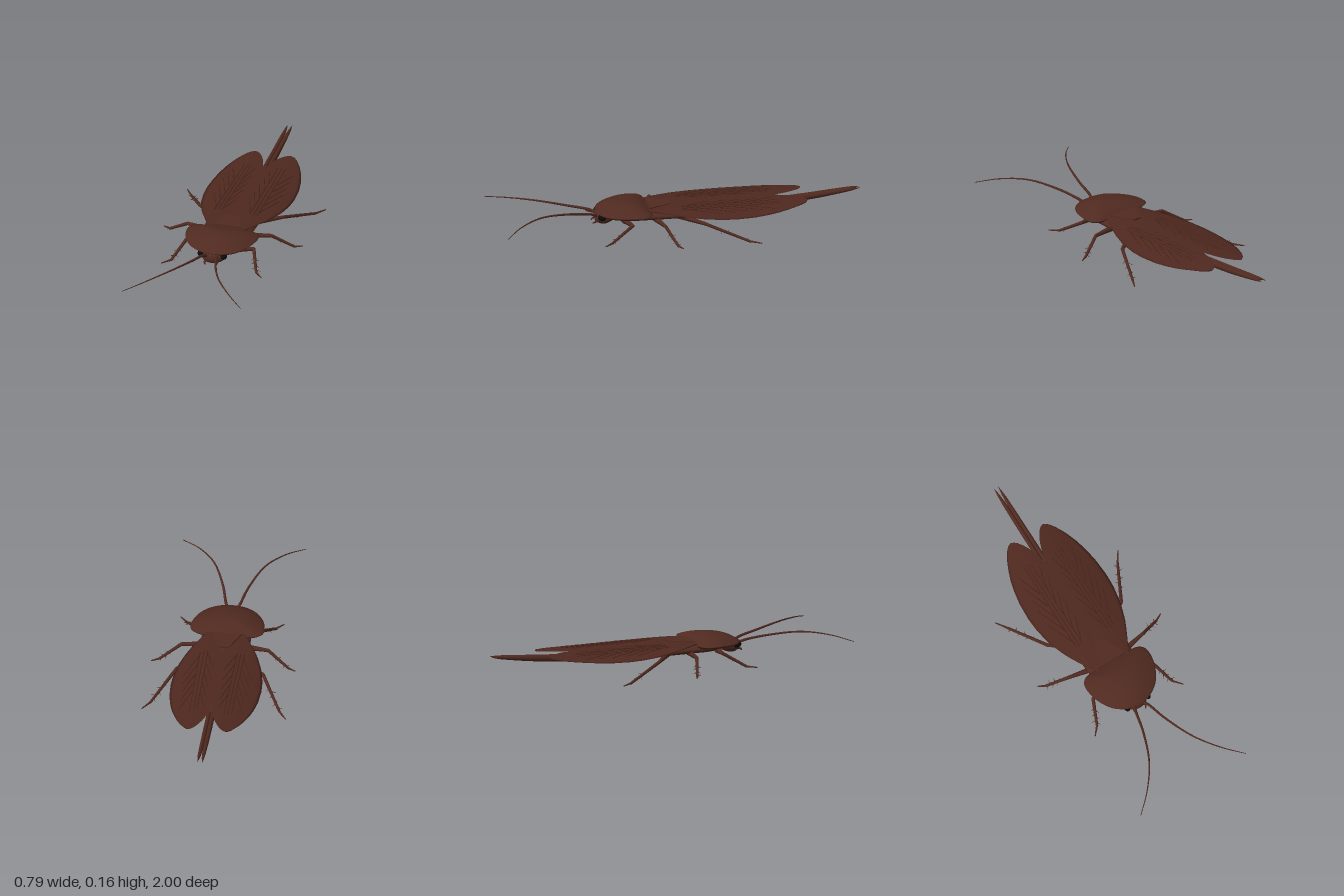
import * as THREE from 'three';
import { mergeVertices } from 'three/addons/utils/BufferGeometryUtils.js';

const mat = (name, color, side = THREE.FrontSide) => {
  const m = new THREE.MeshStandardMaterial({ color, side });
  m.name = name;
  return m;
};

// Surface from a rule f(u, v) -> [x, y, z], smooth across the seam
function grid(nu, nv, f) {
  const pos = [], idx = [];
  for (let i = 0; i <= nu; i++) for (let j = 0; j <= nv; j++) pos.push(...f(i / nu, j / nv));
  for (let i = 0; i < nu; i++) for (let j = 0; j < nv; j++) {
    const a = i * (nv + 1) + j, b = a + nv + 1;
    idx.push(a, b, a + 1, b, b + 1, a + 1);
  }
  let g = new THREE.BufferGeometry();
  g.setAttribute('position', new THREE.Float32BufferAttribute(pos, 3));
  g.setIndex(idx);
  g = mergeVertices(g, 1e-5);
  g.computeVertexNormals();
  return g;
}

// Loft through elliptical sections [z, x, y, rx, ry], ordered front to back
function loft(sections, nu = 40, nv = 24) {
  const c = new THREE.CatmullRomCurve3(sections.map(s => new THREE.Vector3(s[0], s[1], s[2])));
  const r = new THREE.CatmullRomCurve3(sections.map(s => new THREE.Vector3(s[0], s[3], s[4])));
  return grid(nu, nv, (u, v) => {
    const p = c.getPoint(u), q = r.getPoint(u), a = v * Math.PI * 2;
    return [p.y + Math.max(q.y, 0) * Math.cos(a), p.z + Math.max(q.z, 0) * Math.sin(a), p.x];
  });
}

// Tube along points that thins from r0 to r1
function taperedTube(points, r0, r1, n = 40, sides = 8) {
  const curve = new THREE.CatmullRomCurve3(points.map(p => new THREE.Vector3(...p)));
  const g = new THREE.TubeGeometry(curve, n, r0, sides);
  const p = g.attributes.position, v = new THREE.Vector3();
  for (let i = 0; i < p.count; i++) {
    const t = Math.floor(i / (sides + 1)) / n, c = curve.getPointAt(t);
    v.fromBufferAttribute(p, i).sub(c).multiplyScalar(1 + (r1 / r0 - 1) * t).add(c);
    p.setXYZ(i, v.x, v.y, v.z);
  }
  return g;
}

// Wing outline rows [z, inner x, outer x], z falling
const wingRows = [[0.18, 0.09, 0.1], [0.14, 0.068, 0.125], [0.08, 0.04, 0.155], [0.04, 0.02, 0.175], [0, 0.003, 0.193],
  [-0.1, 0, 0.226], [-0.2, 0, 0.243], [-0.28, 0, 0.247], [-0.38, 0, 0.241], [-0.46, 0.001, 0.227], [-0.52, 0.007, 0.211],
  [-0.57, 0.02, 0.192], [-0.61, 0.034, 0.174], [-0.645, 0.052, 0.154], [-0.67, 0.069, 0.136], [-0.685, 0.085, 0.12], [-0.692, 0.102, 0.103]];
function wingEdges(z) {
  let i = 0;
  while (i < wingRows.length - 2 && z < wingRows[i + 1][0]) i++;
  const [a, b] = [wingRows[i], wingRows[i + 1]];
  const t = (z - a[0]) / (b[0] - a[0]);
  return [a[1] + (b[1] - a[1]) * t, a[2] + (b[2] - a[2]) * t];
}
const wingY = (x, z) => 0.136 - 0.58 * x * x + 0.008 * Math.max(0, -z - 0.4);

export function createModel() {
  const model = new THREE.Group();
  const body = mat('body brown', 0x502a20);
  const wingMat = mat('wing brown', 0x4e281f, THREE.DoubleSide);
  const veinMat = mat('vein brown', 0x48241b);
  const black = mat('eye black', 0x0c0c0c);
  const add = (name, geo, m, parent = model) => {
    const mesh = new THREE.Mesh(geo, m);
    mesh.name = name;
    parent.add(mesh);
    return mesh;
  };

  // Thorax and abdomen
  add('abdomen', loft([[0.39, 0, 0.1, 0, 0], [0.36, 0, 0.1, 0.06, 0.02], [0.28, 0, 0.099, 0.125, 0.032], [0.15, 0, 0.098, 0.135, 0.032],
    [0, 0, 0.098, 0.14, 0.03], [-0.2, 0, 0.099, 0.125, 0.028], [-0.36, 0, 0.102, 0.085, 0.024], [-0.46, 0, 0.106, 0.04, 0.018], [-0.51, 0, 0.11, 0, 0]]), body);

  // Domed shield over the thorax, closed underneath
  const half = [[0.07, 0.443], [0.135, 0.4], [0.18, 0.33], [0.2, 0.25], [0.194, 0.2], [0.165, 0.173], [0.09, 0.165]];
  const rim = new THREE.CatmullRomCurve3([[0, 0.455], ...half, [0, 0.163], ...half.map(([x, z]) => [-x, z]).reverse()]
    .map(([x, z]) => new THREE.Vector3(x, 0, z)), true);
  add('thoraxShield', grid(28, 64, (u, v) => {
    const p = rim.getPoint(v % 1);
    const top = u <= 0.75;
    const s = top ? u / 0.75 : 1 - Math.pow((u - 0.75) / 0.25, 2) * 0.999;
    const z = 0.29 + (p.z - 0.29) * s;
    const y = top ? 0.122 + 0.038 * (1 - Math.pow(s, 2.2)) : 0.122 - 0.014 * Math.min(1, (1 - s) * 12);
    return [p.x * s, y - 0.011 * s * s * Math.max(0, (z - 0.29) / 0.165), z];
  }), body);

  // Small plate between the wing roots
  const plate = new THREE.Shape([[-0.085, 0.17], [-0.036, 0.058], [-0.024, 0.045], [0.024, 0.045], [0.036, 0.058], [0.085, 0.17]]
    .map(([x, z]) => new THREE.Vector2(x, -z)));
  const plateGeo = new THREE.ExtrudeGeometry(plate, { depth: 0.009, bevelEnabled: false });
  plateGeo.rotateX(-Math.PI / 2).translate(0, 0.1295, 0);
  add('scutellum', plateGeo, body);

  // Head
  add('head', loft([[0.461, 0, 0.078, 0, 0], [0.456, 0, 0.079, 0.03, 0.019], [0.442, 0, 0.08, 0.053, 0.031], [0.41, 0, 0.082, 0.068, 0.039],
    [0.37, 0, 0.086, 0.052, 0.03], [0.345, 0, 0.09, 0, 0]]), body);

  for (const s of [1, -1]) {
    const side = new THREE.Group();
    side.name = s > 0 ? 'leftSide' : 'rightSide';
    model.add(side);
    const at = ([x, y, z]) => [s * x, y, z];

    // Eye, antenna and feeler by the mouth
    const eye = add('eye', new THREE.SphereGeometry(1, 20, 14), black, side);
    eye.scale.set(0.017, 0.02, 0.024);
    eye.position.set(s * 0.065, 0.095, 0.428);
    add('antenna', taperedTube([[0.022, 0.088, 0.44], [0.038, 0.106, 0.475], [0.07, 0.129, 0.6], [0.14, 0.147, 0.775], [0.235, 0.136, 0.905],
      [0.335, 0.111, 1]].map(at), 0.008, 0.0018, 60), body, side);
    add('mouthFeeler', taperedTube([[0.03, 0.068, 0.445], [0.034, 0.06, 0.463], [0.025, 0.051, 0.473]].map(at), 0.008, 0.003, 8), body, side);

    // Arched wing with an upper and a lower skin
    add('wing', grid(56, 30, (u, v) => {
      const z = 0.18 - 0.872 * Math.sin(u * Math.PI / 2);
      const [a, b] = wingEdges(z);
      const x = a + (b - a) * (1 - Math.abs(2 * v - 1));
      return [s * x, wingY(x, z) - (v > 0.5 ? 0.006 : 0), z];
    }), wingMat, side);

    // Raised veins: long ones, then slanted branches on both sides
    const vein = (x0, z0, x1, z1) => {
      const pts = [0, 0.25, 0.5, 0.75, 1].map(t => {
        const x = x0 + (x1 - x0) * t, z = z0 + (z1 - z0) * t;
        return [s * x, wingY(x, z) + 0.0005, z];
      });
      add('vein', taperedTube(pts, 0.0028, 0.0016, 8, 6), veinMat, side);
    };
    for (const [x, z] of [[0.08, -0.53], [0.1, -0.54], [0.12, -0.54]]) vein(x, 0, x - 0.006, z);
    for (let i = 0; i < 5; i++) {
      vein(0.122, -0.04 - i * 0.08, 0.185 - i * 0.003, -0.21 - i * 0.075);
      vein(0.076, -0.02 - i * 0.085, 0.028 + i * 0.003, -0.16 - i * 0.085);
    }

    // Long tail rod with a forked tip
    add('tailRod', loft([[-0.3, s * 0.008, 0.084, 0, 0], [-0.36, s * 0.01, 0.086, 0.012, 0.014], [-0.55, s * 0.011, 0.099, 0.0125, 0.018],
      [-0.75, s * 0.011, 0.116, 0.012, 0.016], [-0.9, s * 0.011, 0.133, 0.01, 0.011], [-0.96, s * 0.012, 0.14, 0.006, 0.007], [-1, s * 0.013, 0.145, 0.0005, 0.0005]], 36, 12), body, side);

    // Legs: hip, knee, ankle, toe
    const legs = {
      frontLeg: [[0.07, 0.075, 0.31], [0.19, 0.084, 0.285], [0.24, 0.011, 0.405], [0.28, 0.009, 0.45]],
      middleLeg: [[0.06, 0.076, 0.145], [0.236, 0.084, 0.113], [0.35, 0.011, 0.066], [0.39, 0.009, 0.045]],
      hindLeg: [[0.05, 0.08, 0.03], [0.235, 0.084, -0.105], [0.35, 0.011, -0.325], [0.39, 0.009, -0.385]],
    };
    for (const [name, joints] of Object.entries(legs)) {
      const leg = new THREE.Group();
      leg.name = name;
      side.add(leg);
      const [hip, knee, ankle, toe] = joints.map(p => new THREE.Vector3(...at(p)));
      const seg = (part, a, b, r0, r1) => {
        const d = b.clone().sub(a);
        const m = add(part, new THREE.CylinderGeometry(r1, r0, d.length(), 10), body, leg);
        m.position.copy(a).addScaledVector(d, 0.5);
        m.quaternion.setFromUnitVectors(new THREE.Vector3(0, 1, 0), d.normalize());
        const ball = add(part + 'Joint', new THREE.SphereGeometry(r1, 10, 8), body, leg);
        ball.position.copy(b);
      };
      seg('thigh', hip, knee, 0.018, 0.0095);
      seg('shin', knee, ankle, 0.0095, 0.007);
      seg('foot', ankle, toe, 0.006, 0.003);

      // Spines down both sides of the shin
      const dir = ankle.clone().sub(knee).normalize();
      const out = new THREE.Vector3(0, 1, 0).cross(dir).normalize();
      for (let i = 0; i < 6; i++) {
        const tilt = out.clone().multiplyScalar(i % 2 ? 1 : -1).addScaledVector(dir, 0.6);
        tilt.y += i % 3 ? 0.15 : -0.5;
        tilt.normalize();
        const spine = add('spine', new THREE.ConeGeometry(0.003, 0.028, 6), body, leg);
        spine.position.lerpVectors(knee, ankle, 0.35 + i * 0.11).addScaledVector(tilt, 0.016);
        spine.quaternion.setFromUnitVectors(new THREE.Vector3(0, 1, 0), tilt);
      }
    }
  }
  return model;
}
